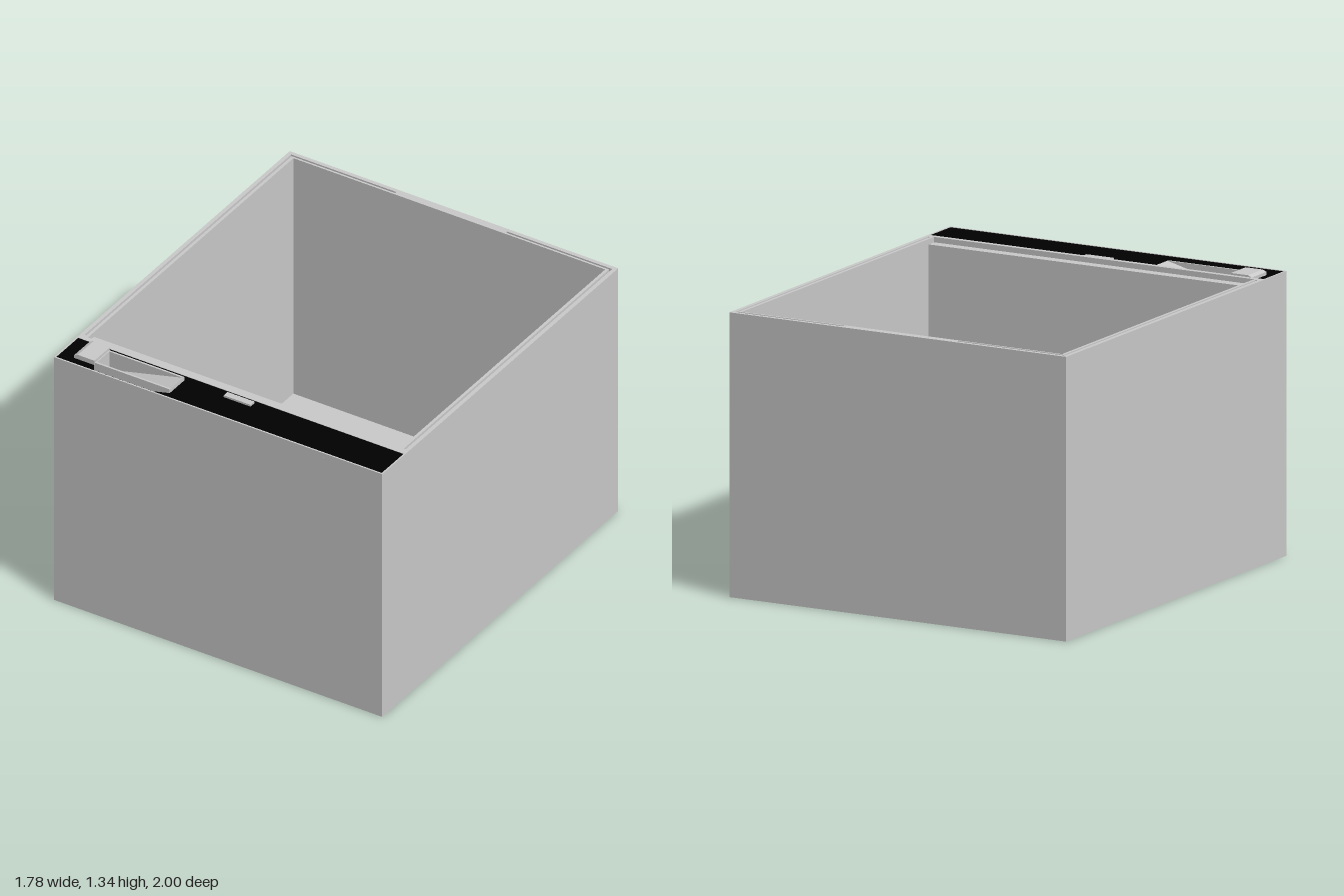
import * as THREE from 'three';

export function createModel() {
  const model = new THREE.Group();
  const grey = new THREE.MeshStandardMaterial({ color: 0xcacaca });
  grey.name = 'light grey';
  const black = new THREE.MeshStandardMaterial({ color: 0x000000 });
  black.name = 'black';

  const add = (name, geometry, material) => {
    const mesh = new THREE.Mesh(geometry, material);
    mesh.name = name;
    model.add(mesh);
    return mesh;
  };
  // Box given by its limits
  const box = (name, material, x0, x1, y0, y1, z0, z1) =>
    add(name, new THREE.BoxGeometry(x1 - x0, y1 - y0, z1 - z0), material)
      .position.set((x0 + x1) / 2, (y0 + y1) / 2, (z0 + z1) / 2);
  // Closed outline from [x, z] pairs, with z running down the plan
  const outline = (Type, pts) => new Type(pts.map(([x, z]) => new THREE.Vector2(x, -z)));
  const rect = (x, z0, z1) => [[-x, z1], [x, z1], [x, z0], [-x, z0]];
  // Horizontal slab with holes, from y0 up to y1
  const layer = (name, pts, holes, y0, y1) => {
    const shape = outline(THREE.Shape, pts);
    shape.holes = holes.map((h) => outline(THREE.Path, h));
    const g = new THREE.ExtrudeGeometry(shape, { depth: y1 - y0, bevelEnabled: false });
    g.rotateX(-Math.PI / 2).translate(0, y0, 0);
    add(name, g, grey);
  };

  const TOP = 1.335, LEDGE = 1.31, FLOOR = 0.04;
  const outer = rect(0.89, -1, 1);
  const compartment = rect(0.882, 0.806, 0.992);

  // Tub: floor, walls and a rim with a seal groove and front ledge
  layer('floor', outer, [], 0, FLOOR);
  layer('walls', outer, [rect(0.845, -0.96, 0.73), compartment], FLOOR, LEDGE);
  const groove = (s) => [
    [s * 0.87, 0.77], [s * 0.87, -0.98], [s * 0.3, -0.98],
    [s * 0.3, -0.97], [s * 0.86, -0.97], [s * 0.86, 0.77],
  ];
  layer('rim', outer, [rect(0.845, -0.96, 0.78), compartment, groove(1), groove(-1)], LEDGE, TOP);

  // Black lining of the front compartment
  const lip = TOP - 0.002;
  box('liningFloor', black, -0.882, 0.882, FLOOR, FLOOR + 0.005, 0.806, 0.992);
  box('liningBack', black, -0.882, 0.882, FLOOR, lip, 0.806, 0.809);
  box('liningFront', black, -0.882, 0.882, FLOOR, lip, 0.989, 0.992);
  for (const s of [-1, 1]) {
    const x = s * 0.8805;
    box(s > 0 ? 'liningLeft' : 'liningRight', black, x - 0.0015, x + 0.0015, FLOOR, lip, 0.809, 0.989);
  }

  // Profile in x and y, extruded along z
  const profile = (name, pts, z0, z1) => {
    const shape = new THREE.Shape(pts.map(([x, y]) => new THREE.Vector2(x, y)));
    const g = new THREE.ExtrudeGeometry(shape, { depth: z1 - z0, bevelEnabled: false });
    add(name, g.translate(0, 0, z0), grey);
  };

  // Latch: low button and a wedge-shaped finger pocket beside it
  profile('latchButton', [[-0.82, 1.32], [-0.71, 1.32], [-0.71, 1.344], [-0.8, 1.344], [-0.82, 1.335]], 0.803, 0.937);
  profile('pocketRamp', [[-0.705, 1.21], [-0.305, 1.31], [-0.305, 1.33], [-0.705, 1.23]], 0.809, 0.932);
  for (const z of [0.809, 0.922])
    profile('pocketSide', [[-0.705, 1.23], [-0.305, 1.33], [-0.705, 1.33]], z, z + 0.01);
  box('pocketEnd', grey, -0.715, -0.705, 1.21, 1.33, 0.809, 0.932);

  // Small catch in the middle of the divider
  box('centreCatch', grey, -0.07, 0.075, 1.322, 1.332, 0.807, 0.842);

  return model;
}
